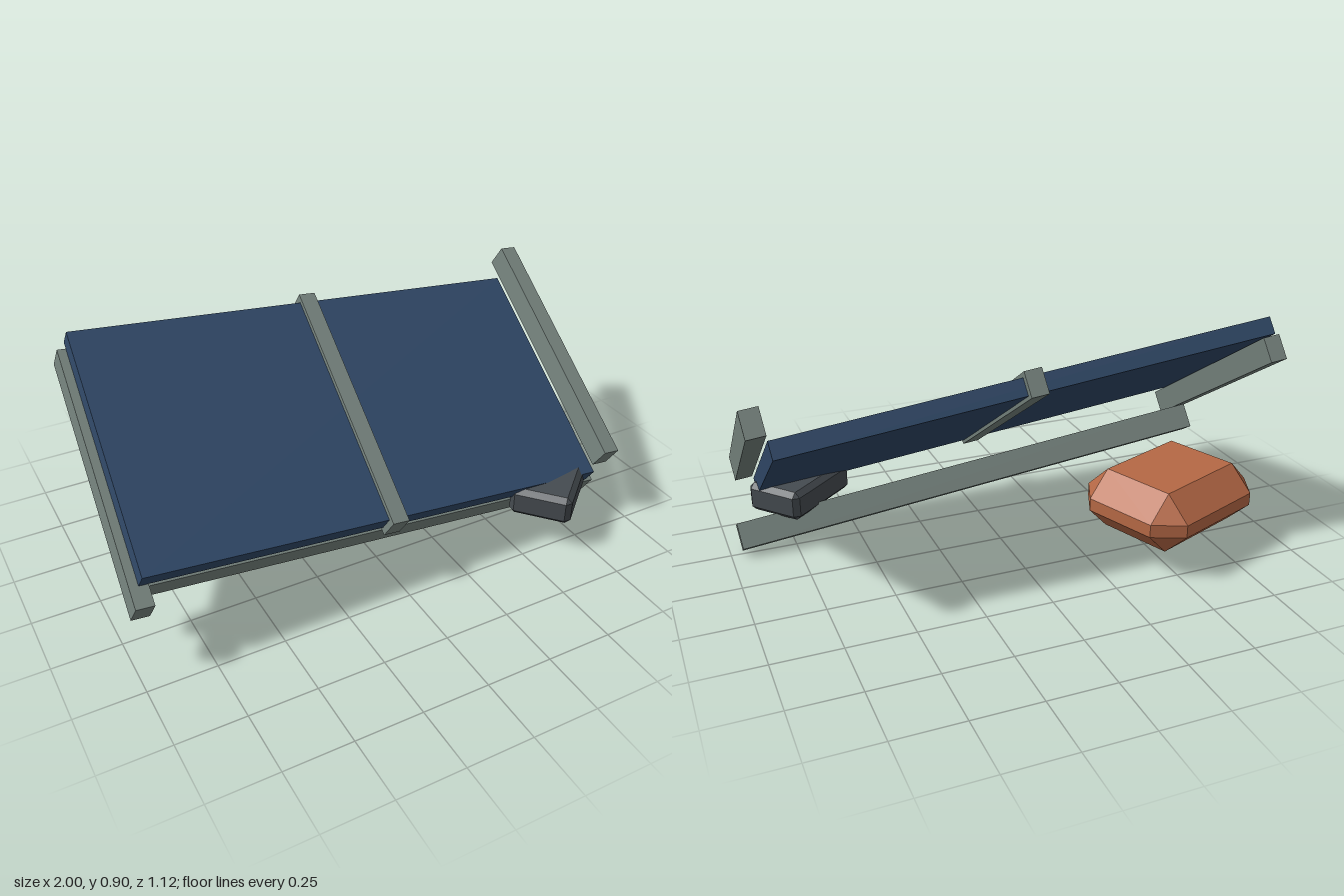
import * as THREE from 'three';
import { ConvexGeometry } from 'three/addons/geometries/ConvexGeometry.js';

const ROLL = THREE.MathUtils.degToRad(-6);
const PITCH = THREE.MathUtils.degToRad(32);

function material(name, color) {
  const m = new THREE.MeshStandardMaterial({ color });
  m.name = name;
  return m;
}

// Box with flat chamfers on every edge and corner
function chamferedBox(w, h, d, b) {
  const points = [];
  for (const x of [-w / 2, w / 2])
    for (const y of [-h / 2, h / 2])
      for (const z of [-d / 2, d / 2]) {
        const ix = x - Math.sign(x) * b;
        const iy = y - Math.sign(y) * b;
        const iz = z - Math.sign(z) * b;
        points.push(
          new THREE.Vector3(x, iy, iz),
          new THREE.Vector3(ix, y, iz),
          new THREE.Vector3(ix, iy, z)
        );
      }
  return new ConvexGeometry(points);
}

export function createModel() {
  const model = new THREE.Group();
  model.name = 'tiltedPanel';

  const panelBlue = material('panelBlue', 0x304867);
  const frameGrey = material('frameGrey', 0x75827d);
  const rockOrange = material('rockOrange', 0xb56845);
  const rockDark = material('rockDark', 0x454b50);

  function add(name, geometry, mat, position) {
    const mesh = new THREE.Mesh(geometry, mat);
    mesh.name = name;
    mesh.position.set(...position);
    model.add(mesh);
    return mesh;
  }

  // Pieces that share the lean of the panel
  function addTilted(name, size, mat, position) {
    add(name, new THREE.BoxGeometry(...size), mat, position)
      .rotation.set(PITCH, 0, ROLL, 'ZXY');
  }

  // Panel slab
  addTilted('panel', [1.825, 0.065, 0.93], panelBlue, [-0.02, 0.535, 0.0225]);

  // Cross bars at both ends and the middle, all at one height
  [['rightBar', -0.936], ['middleBar', 0], ['leftBar', 0.936]].forEach(([name, x]) =>
    addTilted(name, [0.065, 0.094, 0.98], frameGrey, [x, 0.535, 0.0225]));

  // Long beam under the front edge
  addTilted('lowerBeam', [1.93, 0.1, 0.076], frameGrey, [0, 0.164, 0.268]);

  // Chamfered stones
  add('orangeStone', chamferedBox(0.565, 0.235, 0.475, 0.093), rockOrange,
    [-0.58, 0.212, -0.27]).rotation.y = 0.375;
  add('darkStone', chamferedBox(0.346, 0.115, 0.234, 0.02), rockDark,
    [0.697, 0.1875, 0.375]).rotation.y = 0.715;

  return model;
}
